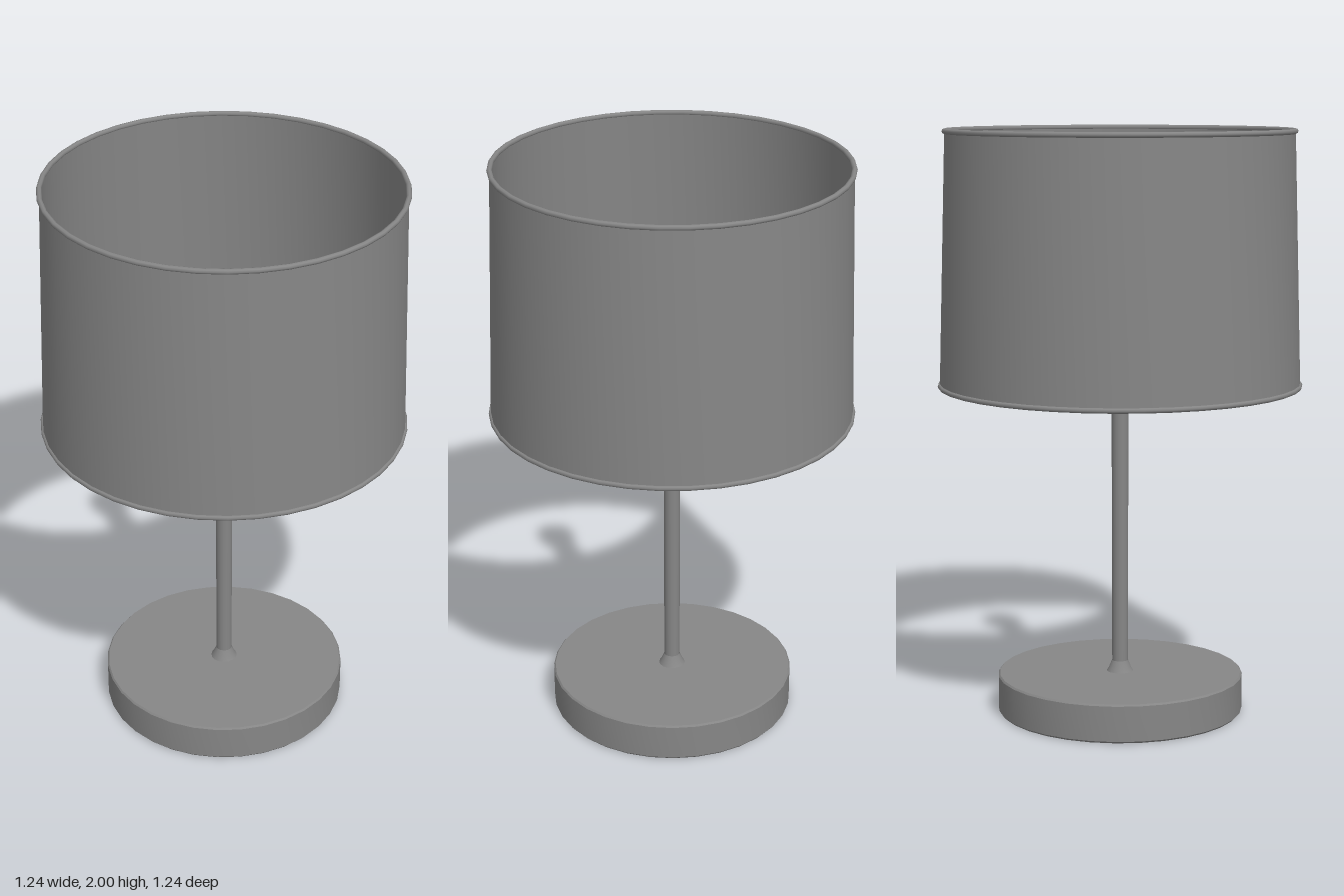
import * as THREE from 'three';
import { toCreasedNormals } from 'three/addons/utils/BufferGeometryUtils.js';

export function createModel() {
  const lamp = new THREE.Group();
  lamp.name = 'tableLamp';
  // Dark grey finish on every part
  const material = new THREE.MeshStandardMaterial({ color: 0x868686, side: THREE.DoubleSide });

  const add = (name, geometry) => {
    const mesh = new THREE.Mesh(geometry, material);
    mesh.name = name;
    lamp.add(mesh);
    return mesh;
  };
  // Turned part from [radius, height] pairs, with sharp edges kept
  const turned = (name, profile, sides) => {
    const points = profile.map(([r, y]) => new THREE.Vector2(r, y));
    return add(name, toCreasedNormals(new THREE.LatheGeometry(points, sides), 0.6));
  };

  // Round weighted base
  turned('base', [
    [0, 0], [0.418, 0], [0.423, 0.006], [0.423, 0.126], [0.418, 0.132], [0, 0.132],
  ], 32);

  // Low flared collar and slender pole
  turned('poleCollar', [[0.046, 0.132], [0.038, 0.145], [0.028, 0.17]], 16);
  add('pole', new THREE.CylinderGeometry(0.029, 0.027, 1.0, 16)).position.y = 0.62;

  // Bulb holder with its ring
  turned('socket', [
    [0.028, 1.06], [0.032, 1.1], [0.036, 1.16], [0.05, 1.22], [0.05, 1.27],
    [0.062, 1.28], [0.062, 1.31], [0.05, 1.32], [0.05, 1.42], [0, 1.42],
  ], 16);

  // Switch knob at the back of the holder
  const knob = add('switchKnob', new THREE.SphereGeometry(0.034, 12, 8));
  knob.position.set(0, 1.085, -0.03);
  knob.scale.set(0.9, 1.2, 1);

  // Bulb
  turned('bulb', [
    [0.035, 1.42], [0.045, 1.45], [0.068, 1.5], [0.074, 1.54],
    [0.068, 1.575], [0.045, 1.602], [0.02, 1.612], [0, 1.614],
  ], 20);

  // Thin tapered drum shade, open at both ends
  turned('shade', [
    [0.612, 1.13], [0.586, 1.995], [0.579, 1.995], [0.605, 1.13], [0.612, 1.13],
  ], 40);

  // Wire rims at the two ends of the shade
  for (const [name, radius, y] of [['lowerRim', 0.61, 1.138], ['upperRim', 0.586, 1.991]]) {
    const rim = add(name, new THREE.TorusGeometry(radius, 0.009, 8, 40));
    rim.rotation.x = Math.PI / 2;
    rim.position.y = y;
  }

  return lamp;
}
